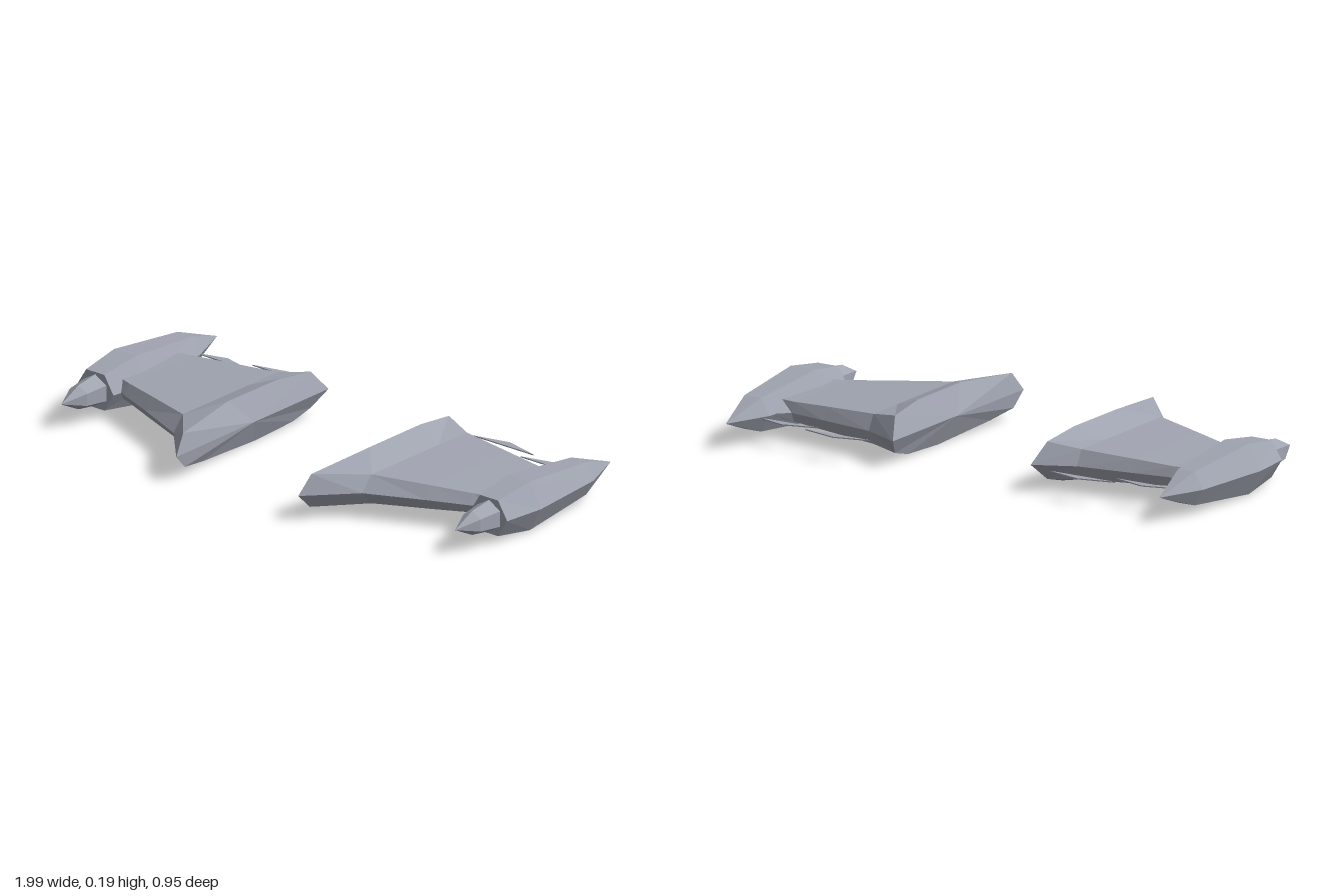
import * as THREE from 'three';

const hull = new THREE.MeshStandardMaterial({ color: 0xa0a4b0 });
hull.name = 'hullGrey';

// Faceted skin over rings of [x, y, z]; each ring runs counter-clockwise seen from the last one.
// side = -1 mirrors the part across x = 0.
function loft(name, rings, side, startCentre, endCentre) {
  const pos = [];
  const tri = (a, b, c) => {
    for (const p of side > 0 ? [a, b, c] : [a, c, b]) pos.push(p[0] * side, p[1], p[2]);
  };
  const mean = (ring) => [0, 1, 2].map((k) => ring.reduce((s, p) => s + p[k], 0) / ring.length);
  const n = rings[0].length;
  const first = rings[0], last = rings[rings.length - 1];
  const c0 = startCentre || mean(first), c1 = endCentre || mean(last);
  for (let j = 0; j < n; j++) {
    const k = (j + 1) % n;
    for (let i = 0; i < rings.length - 1; i++) {
      const a = rings[i], b = rings[i + 1];
      tri(a[j], a[k], b[k]);
      tri(a[j], b[k], b[j]);
    }
    tri(c0, first[k], first[j]);
    tri(c1, last[j], last[k]);
  }
  const g = new THREE.BufferGeometry();
  g.setAttribute('position', new THREE.Float32BufferAttribute(pos, 3));
  g.computeVertexNormals();
  const mesh = new THREE.Mesh(g, hull);
  mesh.name = name;
  return mesh;
}

// Six-sided ring around the nacelle axis
const hexRing = (z, rx, ry, turn) => Array.from({ length: 6 }, (_, i) => {
  const a = (i * Math.PI) / 3 + turn;
  return [0.897 + rx * Math.cos(a), 0.099 + ry * Math.sin(a), z];
});

// Wing section at x: trailing edge, flat top, leading edge, flat bottom
function wingRing(x, te, zr, zf, le, h) {
  const at = (t) => zr + (zf - zr) * t;
  const top = [0, 0.3, 0.75, 1].map((t) => [x, 0.101 + h, at(t)]);
  const bottom = [1, 0.8, 0.5, 0.15, 0].map((t) => [x, 0.101 - h, at(t)]);
  return [[x, 0.1, te], ...top, [x, 0.1, le], ...bottom];
}

// Flared inner end of the wing
const rootRing = [
  [0.285, 0.1, -0.35],
  [0.315, 0.175, -0.29], [0.323, 0.195, -0.13], [0.325, 0.195, 0.14], [0.292, 0.17, 0.42],
  [0.278, 0.1, 0.474],
  [0.285, 0.045, 0.42], [0.305, 0.024, 0.3], [0.325, 0.003, 0], [0.32, 0.015, -0.2], [0.315, 0.04, -0.29],
];

// Thin triangular blade lying flat behind the wing
function blade(x0, xTip, x1, z, depth, side) {
  const s = new THREE.Shape([[x0, -z], [x1, -z], [xTip, -z + depth]].map(([x, y]) => new THREE.Vector2(x * side, y)));
  const g = new THREE.ExtrudeGeometry(s, { depth: 0.004, bevelEnabled: false });
  g.rotateX(-Math.PI / 2);
  g.translate(0, 0.09, 0);
  const mesh = new THREE.Mesh(g, hull);
  mesh.name = 'rearBlade';
  return mesh;
}

function buildSide(side) {
  const group = new THREE.Group();
  group.name = side > 0 ? 'leftWingAssembly' : 'rightWingAssembly';

  group.add(loft('wing', [
    rootRing,
    wingRing(0.43, -0.28, -0.25, 0.26, 0.31, 0.054),
    wingRing(0.64, -0.248, -0.226, 0.183, 0.215, 0.044),
    wingRing(0.785, -0.225, -0.21, 0.13, 0.155, 0.036),
    wingRing(0.84, -0.28, -0.2, 0.11, 0.13, 0.035),
  ], side, [0.282, 0.1, 0.05]));

  // Pod: pointed tail, widest amidships, flat front
  group.add(loft('nacelle', [
    hexRing(-0.3, 0.068, 0.07, 0),
    hexRing(0.02, 0.1, 0.105, 0),
    hexRing(0.18, 0.083, 0.077, 0),
  ], side, [0.897, 0.1, -0.472]));

  // Pointed nose set into the pod's front
  group.add(loft('nacelleNose', [
    hexRing(0.17, 0.06, 0.06, Math.PI / 6),
    hexRing(0.27, 0.045, 0.045, Math.PI / 6),
  ], side, null, [0.897, 0.1, 0.362]));

  group.add(blade(0.37, 0.505, 0.64, -0.36, 0.033, side));
  group.add(blade(0.617, 0.745, 0.86, -0.318, 0.033, side));
  return group;
}

export function createModel() {
  const model = new THREE.Group();
  model.name = 'wingPair';
  for (const side of [1, -1]) model.add(buildSide(side));
  return model;
}
